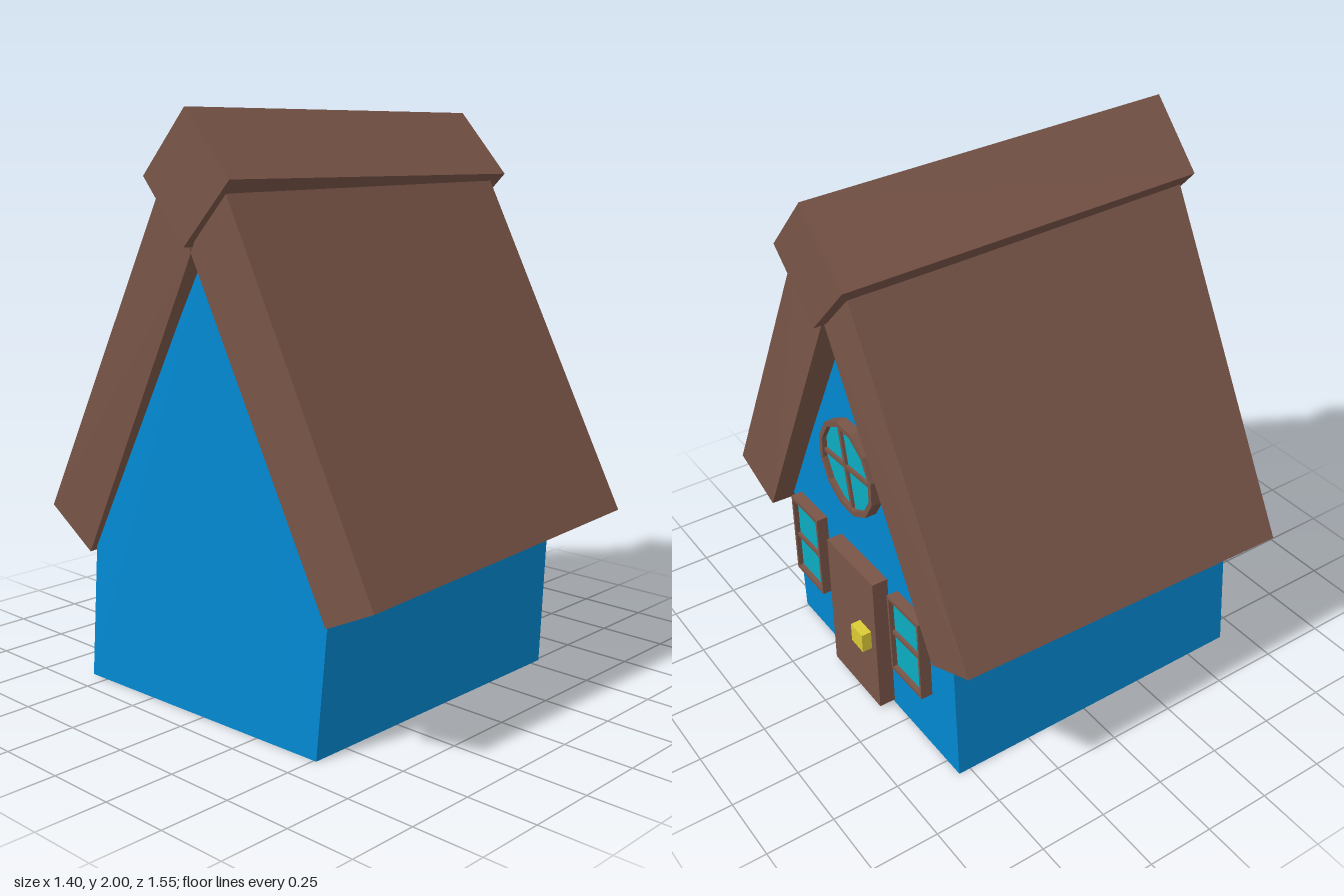
import * as THREE from 'three';

const paint = (color) => new THREE.MeshStandardMaterial({ color, flatShading: true });
const BROWN = paint(0x795548), BLUE = paint(0x0288d1), TEAL = paint(0x0cacc1), YELLOW = paint(0xdccb35);

// Solid between two matching outlines of [x, y, z] corners (counter-clockwise seen from +x).
function loft(name, back, front, material) {
  const n = back.length, index = [];
  for (let i = 0; i < n; i++) {
    const j = (i + 1) % n;
    index.push(i, j, n + j, i, n + j, n + i);
    if (i > 0 && i < n - 1) index.push(0, i + 1, i, n, n + i, n + i + 1);
  }
  const geo = new THREE.BufferGeometry();
  geo.setAttribute('position', new THREE.Float32BufferAttribute([...back, ...front].flat(), 3));
  geo.setIndex(index);
  const flat = geo.toNonIndexed();
  flat.computeVertexNormals();
  const mesh = new THREE.Mesh(flat, material);
  mesh.name = name;
  return mesh;
}

// Plate on the door wall: outline of [z, y] corners, from x0 to x1, with an optional hole.
function plate(name, outline, x0, x1, material, hole) {
  const points = (list) => list.map(([z, y]) => new THREE.Vector2(-z, y));
  const shape = new THREE.Shape(points(outline));
  if (hole) shape.holes.push(new THREE.Path(points(hole)));
  const geo = new THREE.ExtrudeGeometry(shape, { depth: x1 - x0, bevelEnabled: false });
  geo.rotateY(Math.PI / 2).translate(x0, 0, 0);
  const mesh = new THREE.Mesh(geo, material);
  mesh.name = name;
  return mesh;
}

// Thin bar from one [z, y] point to another.
function bar([z0, y0], [z1, y1], width, x0, x1) {
  const geo = new THREE.BoxGeometry(x1 - x0, width, Math.hypot(z1 - z0, y1 - y0));
  geo.rotateX(-Math.atan2(y1 - y0, z1 - z0));
  geo.translate((x0 + x1) / 2, (y0 + y1) / 2, (z0 + z1) / 2);
  const mesh = new THREE.Mesh(geo, BROWN);
  mesh.name = 'glazingBar';
  return mesh;
}

// Framed window: outline, inner edge scaled about the centre, glass and bars.
function framedWindow(name, outline, scaleZ, scaleY, bars) {
  const group = new THREE.Group();
  group.name = name;
  const cz = outline.reduce((s, p) => s + p[0], 0) / outline.length;
  const cy = outline.reduce((s, p) => s + p[1], 0) / outline.length;
  const inner = outline.map(([z, y]) => [cz + (z - cz) * scaleZ, cy + (y - cy) * scaleY]);
  group.add(plate('frame', outline, 0.53, 0.59, BROWN, inner));
  group.add(plate('glass', inner, 0.53, 0.572, TEAL));
  for (const [a, b] of bars) group.add(bar(a, b, 0.014, 0.56, 0.583));
  return group;
}

export function createModel() {
  const house = new THREE.Group();
  house.name = 'house';

  // Walls with gables at both ends
  house.add(loft('walls',
    [[-0.62, 1.54, 0.01], [-0.605, 0.53, 0.54], [-0.635, 0, 0.51], [-0.665, 0, -0.575], [-0.64, 0.53, -0.56]],
    [[0.55, 1.54, 0.01], [0.545, 0.55, 0.535], [0.545, 0, 0.51], [0.545, 0, -0.575], [0.55, 0.55, -0.555]], BLUE));

  // Two thick roof slopes, slightly crooked
  house.add(loft('frontRoof',
    [[-0.68, 1.82, 0.14], [-0.665, 0.55, 0.775], [-0.66, 0.455, 0.575], [-0.675, 1.55, 0.01]],
    [[0.64, 1.82, 0.13], [0.635, 0.605, 0.77], [0.63, 0.51, 0.55], [0.64, 1.56, 0.01]], BROWN));
  house.add(loft('backRoof',
    [[-0.675, 1.55, 0.01], [-0.665, 0.46, -0.57], [-0.68, 0.6, -0.76], [-0.68, 1.8, -0.1]],
    [[0.64, 1.56, 0.01], [0.63, 0.54, -0.555], [0.635, 0.65, -0.775], [0.64, 1.8, -0.1]], BROWN));

  // Square beam set on edge along the ridge
  house.add(loft('ridgeBeam',
    [[-0.695, 2, 0.015], [-0.705, 1.785, 0.225], [-0.705, 1.57, 0.01], [-0.695, 1.785, -0.19]],
    [[0.7, 1.985, -0.01], [0.695, 1.765, 0.195], [0.685, 1.555, -0.01], [0.69, 1.77, -0.22]], BROWN));

  // Door and knob
  house.add(plate('door', [[0.165, 0.015], [-0.152, 0.012], [-0.145, 0.577], [0.168, 0.575]], 0.52, 0.607, BROWN));
  house.add(plate('doorKnob', [[-0.042, 0.272], [-0.117, 0.27], [-0.116, 0.345], [-0.04, 0.346]], 0.6, 0.645, YELLOW));

  // Windows beside the door
  house.add(framedWindow('leftWindow',
    [[0.465, 0.24], [0.268, 0.24], [0.273, 0.582], [0.466, 0.58]], 0.88, 0.91,
    [[[0.46, 0.403], [0.275, 0.405]]]));
  house.add(framedWindow('rightWindow',
    [[-0.222, 0.247], [-0.415, 0.251], [-0.406, 0.577], [-0.21, 0.571]], 0.9, 0.92,
    [[[-0.217, 0.413], [-0.408, 0.42]]]));

  // Twelve-sided window in the gable
  const ring = [];
  for (let i = 0; i < 12; i++) {
    const a = (i + 0.45) * Math.PI / 6;
    ring.push([0.028 - 0.177 * Math.cos(a), 0.957 + 0.177 * Math.sin(a)]);
  }
  house.add(framedWindow('roundWindow', ring, 0.89, 0.89,
    [[[0.068, 1.108], [0.012, 0.805]], [[0.183, 0.95], [-0.122, 0.971]]]));

  return house;
}
